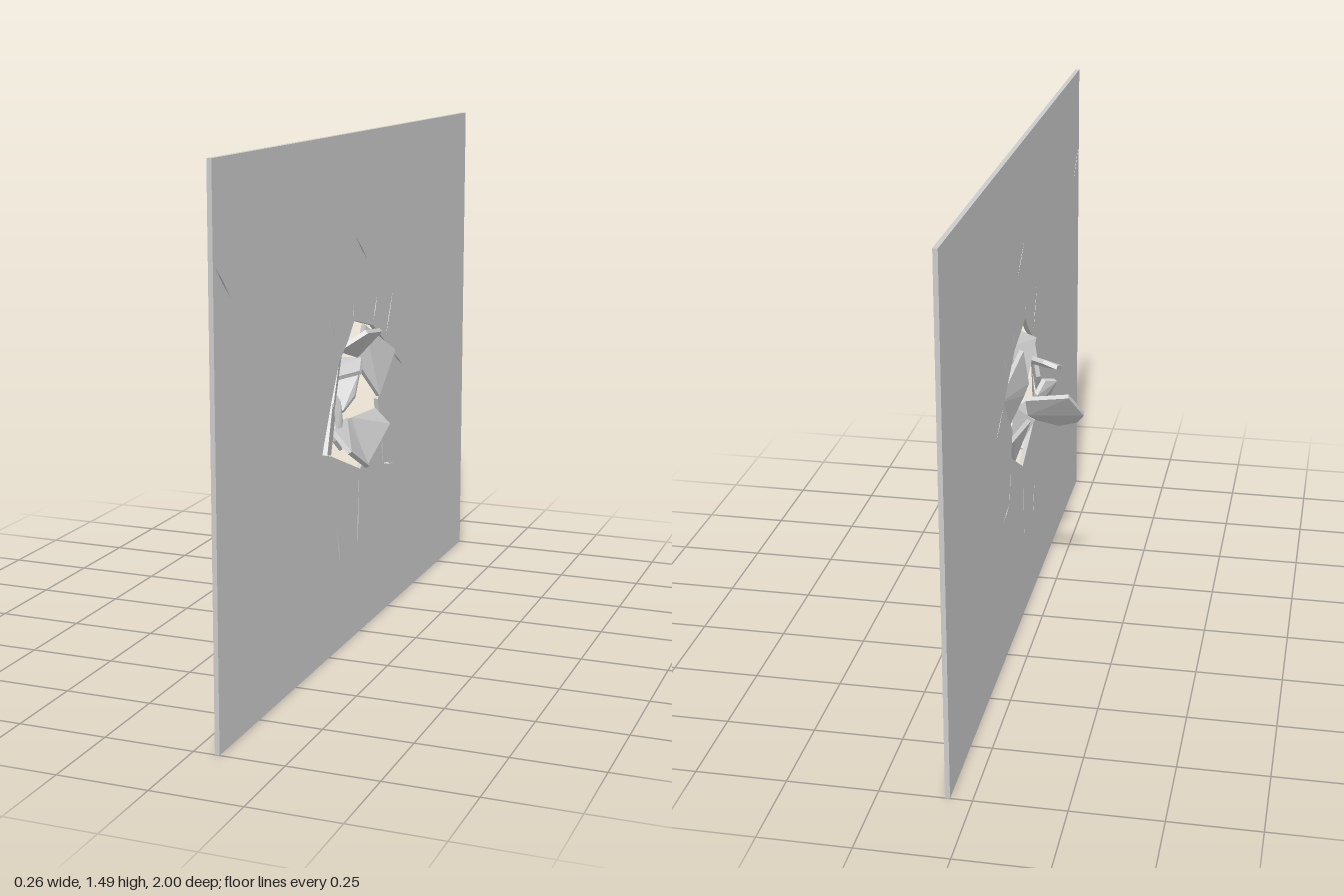
import * as THREE from 'three';
import { ConvexGeometry } from 'three/addons/geometries/ConvexGeometry.js';

const material = new THREE.MeshStandardMaterial({ color: 0xcccccc, flatShading: true, side: THREE.DoubleSide });
const THICK = 0.013;
const PANEL_X = 0.066;
const HEIGHT = 1.485;

// Turns [z, y] pairs into shape points (shape x runs along -z)
const outline = pts => pts.map(([z, y]) => new THREE.Vector2(-z, y));

// Slim tapered slit from one [z, y] point to another
function crack([z1, y1, z2, y2]) {
  const dz = z2 - z1, dy = y2 - y1, w = 0.0035 / Math.hypot(dz, dy);
  const mz = (z1 + z2) / 2, my = (y1 + y2) / 2;
  return new THREE.Path(outline([[z1, y1], [mz - dy * w, my + dz * w], [z2, y2], [mz + dy * w, my - dz * w]]));
}

// Flat splinter: [x, y, z] corners thickened along their average normal
function shard(name, corners) {
  const pts = corners.map(c => new THREE.Vector3(...c));
  const normal = new THREE.Vector3();
  pts.forEach((p, i) => normal.add(p.clone().cross(pts[(i + 1) % pts.length])));
  normal.normalize().multiplyScalar(THICK / 2);
  const solid = pts.flatMap(p => [p.clone().add(normal), p.clone().sub(normal)]);
  const mesh = new THREE.Mesh(new ConvexGeometry(solid), material);
  mesh.name = name;
  return mesh;
}

export function createModel() {
  const group = new THREE.Group();
  group.name = 'shatteredPanel';

  // Upright panel with the broken opening
  const shape = new THREE.Shape(outline([[1, 0], [-1, 0], [-1, HEIGHT], [1, HEIGHT]]));
  shape.holes.push(new THREE.Path(outline([
    [0.05, 0.95], [-0.11, 0.91], [-0.27, 0.81], [-0.15, 0.68], [-0.17, 0.60], [0, 0.50],
    [0.23, 0.59], [0.30, 0.61], [0.23, 0.75], [0.17, 0.85], [0.10, 0.90],
  ])));

  // Cracks spreading through the panel
  [
    [-0.11, 0.925, -0.14, 0.995], [-0.22, 0.86, -0.28, 0.99], [-0.28, 0.80, -0.38, 0.74],
    [0.18, 0.87, 0.235, 0.99], [0.04, 1.19, -0.06, 1.11], [0.19, 0.37, 0.16, 0.25],
    [1 - 0.01, 1.23, 0.90, 1.14], [0.01, 0.48, 0.02, 0.26], [-0.18, 0.59, -0.20, 0.47],
    [-0.20, 0.47, -0.29, 0.45], [0.06, 1.00, 0.06, 0.96],
  ].forEach(c => shape.holes.push(crack(c)));

  const geometry = new THREE.ExtrudeGeometry(shape, { depth: THICK, bevelEnabled: false });
  geometry.rotateY(Math.PI / 2);
  geometry.translate(PANEL_X - THICK / 2, 0, 0);
  const panel = new THREE.Mesh(geometry, material);
  panel.name = 'panel';
  group.add(panel);

  // Loosened pieces around the rim and splinters flying through the opening
  const shards = {
    topShard: [[0.11, 0.92, 0.05], [0.10, 0.90, -0.10], [0.03, 0.82, -0.08], [0.04, 0.87, 0.10]],
    upperFrontShard: [[0.065, 0.85, 0.17], [0.05, 0.86, 0.11], [0.03, 0.75, 0.10], [0.04, 0.68, 0.15], [0.07, 0.73, 0.23]],
    lowerFrontShard: [[0.08, 0.61, 0.30], [0.07, 0.75, 0.23], [0.045, 0.68, 0.15], [0.06, 0.59, 0.22]],
    bottomFrontShard: [[0.12, 0.60, 0.21], [0.05, 0.65, 0.17], [0.03, 0.65, 0.01], [0.10, 0.51, 0.01]],
    bottomBackShard: [[0.04, 0.65, 0], [0.06, 0.65, -0.15], [0.10, 0.60, -0.17], [0.09, 0.51, 0]],
    backShard: [[0.04, 0.91, -0.11], [0.08, 0.81, -0.27], [0.075, 0.69, -0.145], [0.04, 0.77, -0.10], [0.03, 0.80, -0.08]],
    leaningSplinter: [[-0.02, 0.74, 0.11], [0.01, 0.75, 0.08], [0.03, 0.71, 0.06], [0.04, 0.66, 0.07],
      [0.07, 0.59, 0.15], [0.06, 0.62, 0.17], [0.01, 0.67, 0.16]],
    levelSplinter: [[-0.04, 0.815, 0.02], [-0.04, 0.785, 0.10], [0.01, 0.78, 0.12], [0.11, 0.81, 0.10],
      [0.10, 0.84, 0.06], [0, 0.83, 0.02]],
    flyingSplinter: [[-0.13, 0.70, -0.04], [-0.095, 0.775, -0.10], [0.03, 0.76, -0.105], [0.03, 0.70, -0.07],
      [0.015, 0.665, -0.015], [-0.05, 0.645, 0], [-0.105, 0.66, 0]],
  };
  for (const [name, corners] of Object.entries(shards)) group.add(shard(name, corners));

  return group;
}
